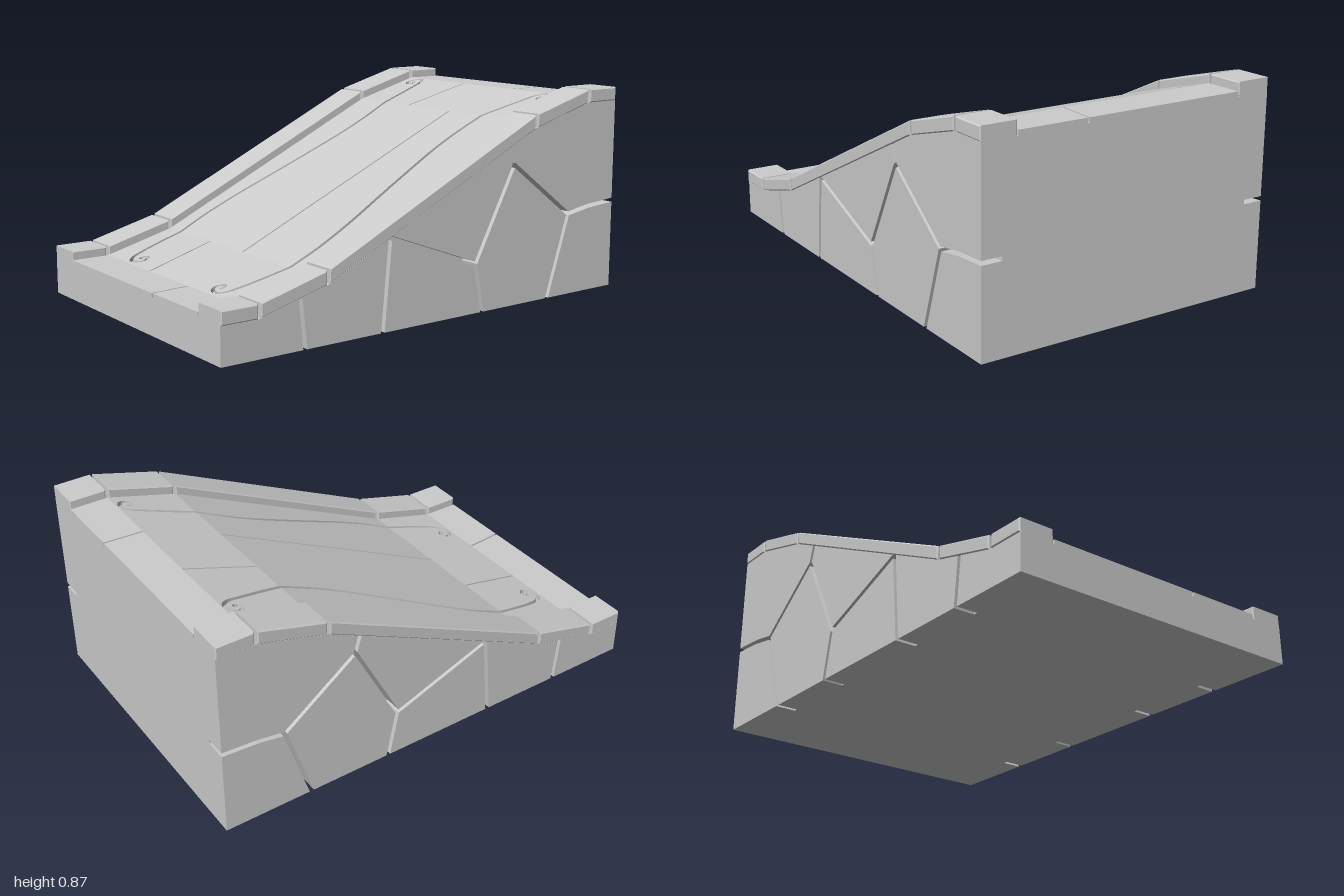
import * as THREE from 'three';

const stone = new THREE.MeshStandardMaterial({ color: 0xcccccc });
stone.name = 'pale stone';

// ramp profile (z, y) under the curbs and deck slabs
const PROFILE = [[1, 0.15], [0.835, 0.15], [0.53, 0.23], [-0.53, 0.73], [-0.835, 0.815], [-1, 0.815]];
const SLAB = 0.02, CURB = 0.057, GAP = 0.009;

function baseY(z) {
  for (let i = 0; i < PROFILE.length - 1; i++) {
    const [z0, y0] = PROFILE[i], [z1, y1] = PROFILE[i + 1];
    if (z >= z1 - 1e-6) return y0 + (y1 - y0) * (z0 - z) / (z0 - z1);
  }
  return 0.815;
}

const toShape = pts => new THREE.Shape(pts.map(p => new THREE.Vector2(p[0], p[1])));

function add(group, name, geometry) {
  const mesh = new THREE.Mesh(geometry, stone);
  mesh.name = name;
  group.add(mesh);
}

// extrude a (z, y) outline across x from x0 to x1
function across(pts, x0, x1, bevel = 0) {
  const geo = new THREE.ExtrudeGeometry(toShape(pts), {
    depth: x1 - x0 - 2 * bevel, bevelEnabled: bevel > 0, bevelSize: bevel,
    bevelThickness: bevel, bevelOffset: -bevel, bevelSegments: 1
  });
  return geo.rotateY(-Math.PI / 2).translate(x1 - bevel, 0, 0);
}

// slab with an (x, z) outline, laid on the ramp profile
function laid(pts) {
  const geo = new THREE.ExtrudeGeometry(toShape(pts.map(([x, z]) => [x, -z])), { depth: SLAB, bevelEnabled: false });
  geo.rotateX(-Math.PI / 2);
  const p = geo.attributes.position;
  for (let i = 0; i < p.count; i++) p.setY(i, p.getY(i) + baseY(p.getZ(i)));
  geo.computeVertexNormals();
  return geo;
}

// move flagged edges of a counter-clockwise outline inward
function inset(pts, d) {
  const n = pts.length;
  const lines = pts.map(([x, y, flag], i) => {
    const q = pts[(i + 1) % n], dx = q[0] - x, dy = q[1] - y, len = Math.hypot(dx, dy);
    const nx = -dy / len, ny = dx / len;
    return [nx, ny, nx * x + ny * y + (flag ? d : 0)];
  });
  return lines.map(([a, b, c], i) => {
    const [e, f, g] = lines[(i + n - 1) % n], det = a * f - b * e;
    return [(c * f - b * g) / det, (a * g - c * e) / det];
  });
}

// two edges of the carved line along a path of (x, z) points
function grooveEdges(path, steps, sign, squareEnd) {
  const curve = new THREE.CatmullRomCurve3(path.map(([x, z]) => new THREE.Vector3(x, 0, z)), false, 'centripetal');
  const inner = [], outer = [], w = 0.008;
  for (let i = 0; i <= steps; i++) {
    const p = curve.getPointAt(i / steps), t = curve.getTangentAt(i / steps);
    let nx = -t.z * sign, nz = t.x * sign;
    if (i === 0 || (squareEnd && i === steps)) { nx = -1; nz = 0; }
    inner.push([p.x + nx * w, p.z + nz * w]);
    outer.push([p.x - nx * w, p.z - nz * w]);
  }
  return { inner, outer };
}

// side stones: (z, y, joint flag of the edge that follows); null sits on the profile
const STONES = [
  [[1, 0, 0], [1, 0.15, 0], [0.835, 0.15, 0], [0.655, null, 1], [0.635, 0, 0]],
  [[0.635, 0, 1], [0.655, null, 0], [0.53, 0.23, 0], [0.235, null, 1], [0.27, 0, 0]],
  [[0.27, 0, 1], [0.235, null, 1], [-0.205, 0.205, 1], [-0.245, 0, 0]],
  [[0.235, null, 0], [-0.39, null, 1], [-0.41, 0.59, 1], [-0.205, 0.205, 1]],
  [[-0.245, 0, 1], [-0.205, 0.205, 1], [-0.41, 0.59, 1], [-0.73, 0.35, 1], [-0.615, 0, 0]],
  [[-0.39, null, 0], [-0.53, 0.73, 0], [-0.835, 0.815, 0], [-1, 0.815, 0], [-1, 0.38, 1],
    [-0.85, 0.37, 1], [-0.73, 0.35, 1], [-0.41, 0.59, 1]],
  [[-0.615, 0, 1], [-0.73, 0.35, 1], [-0.85, 0.37, 1], [-1, 0.38, 0], [-1, 0, 0]]
];

// carved curve: middle run and the curled ends
const MIDDLE = [[0.415, 0.53], [0.421, 0.4], [0.407, 0.24], [0.375, 0.06], [0.345, -0.12], [0.323, -0.28], [0.32, -0.4], [0.329, -0.53]];
const FRONT_CURL = [[0.415, 0.53], [0.4, 0.65], [0.383, 0.74], [0.365, 0.79], [0.335, 0.814], [0.295, 0.806],
  [0.278, 0.78], [0.297, 0.757], [0.32, 0.77], [0.311, 0.785]];
const BACK_CURL = [[0.329, -0.53], [0.348, -0.63], [0.37, -0.73], [0.385, -0.79], [0.415, -0.822], [0.45, -0.81],
  [0.462, -0.782], [0.442, -0.76], [0.42, -0.773], [0.428, -0.79]];

// deck rows: z and joint x at the front and back edge
const ROWS = [
  [1, 0.835, 0.175, 0.16],
  [0.835, 0.53, -0.145, -0.17],
  [0.53, -0.53, 0.08, 0.12],
  [-0.53, -0.835, -0.16, -0.125],
  [-0.835, -1, 0.195, 0.205]
];

export function createModel() {
  const model = new THREE.Group();
  model.name = 'stoneRamp';

  // solid core
  add(model, 'core', across([[1, 0], ...PROFILE, [-1, 0]], -0.57, 0.57));

  const middle = grooveEdges(MIDDLE, 40, 1, true);
  middle.inner.forEach((p, i) => {
    // keep the inner edge on the centre side of the line
    if (p[0] > middle.outer[i][0]) [middle.inner[i], middle.outer[i]] = [middle.outer[i], p];
  });
  const front = grooveEdges(FRONT_CURL, 60, 1, false);
  const back = grooveEdges(BACK_CURL, 60, -1, false);
  const edge = 0.507;

  for (const s of [1, -1]) {
    const side = new THREE.Group();
    side.name = s > 0 ? 'leftSide' : 'rightSide';
    model.add(side);
    const span = (a, b) => s > 0 ? [a, b] : [-b, -a];

    // irregular wall stones
    for (const pts of STONES) {
      const full = pts.map(([z, y, f]) => [z, y === null ? baseY(z) : y, f]);
      add(side, 'wallStone', across(inset(full, GAP), ...span(0.57, 0.66)));
    }

    // curb blocks following the slope
    for (const [z0, z1] of ROWS) {
      const a = z0 === 1 ? 1 : z0 - 0.006, b = z1 === -1 ? -1 : z1 + 0.006;
      const block = [[a, baseY(a)], [a, baseY(a) + CURB], [b, baseY(b) + CURB], [b, baseY(b)]];
      add(side, 'curbBlock', across(block, ...span(0.51, 0.664), 0.005));
    }

    // deck slabs with the carved curve left open
    ROWS.forEach(([z0, z1, j0, j1], i) => {
      const a = j0 * s + 0.004, b = j1 * s + 0.004;
      const outlines = [
        [[a, z0], [b, z1], [edge, z1], [edge, z0]],
        [[a, z0], [b, z1], ...front.inner, ...front.outer.slice().reverse(), [edge, z1], [edge, z0]],
        [[a, z0], ...middle.inner, [b, z1]],
        [[b, z1], [a, z0], ...back.inner, ...back.outer.slice().reverse(), [edge, z0], [edge, z1]],
        [[a, z0], [b, z1], [edge, z1], [edge, z0]]
      ];
      const pieces = [outlines[i]];
      if (i === 2) pieces.push([...middle.outer, [edge, z1], [edge, z0]]);
      for (const piece of pieces) add(side, 'deckSlab', laid(piece.map(([x, z]) => [x * s, z])));
    });
  }
  return model;
}
